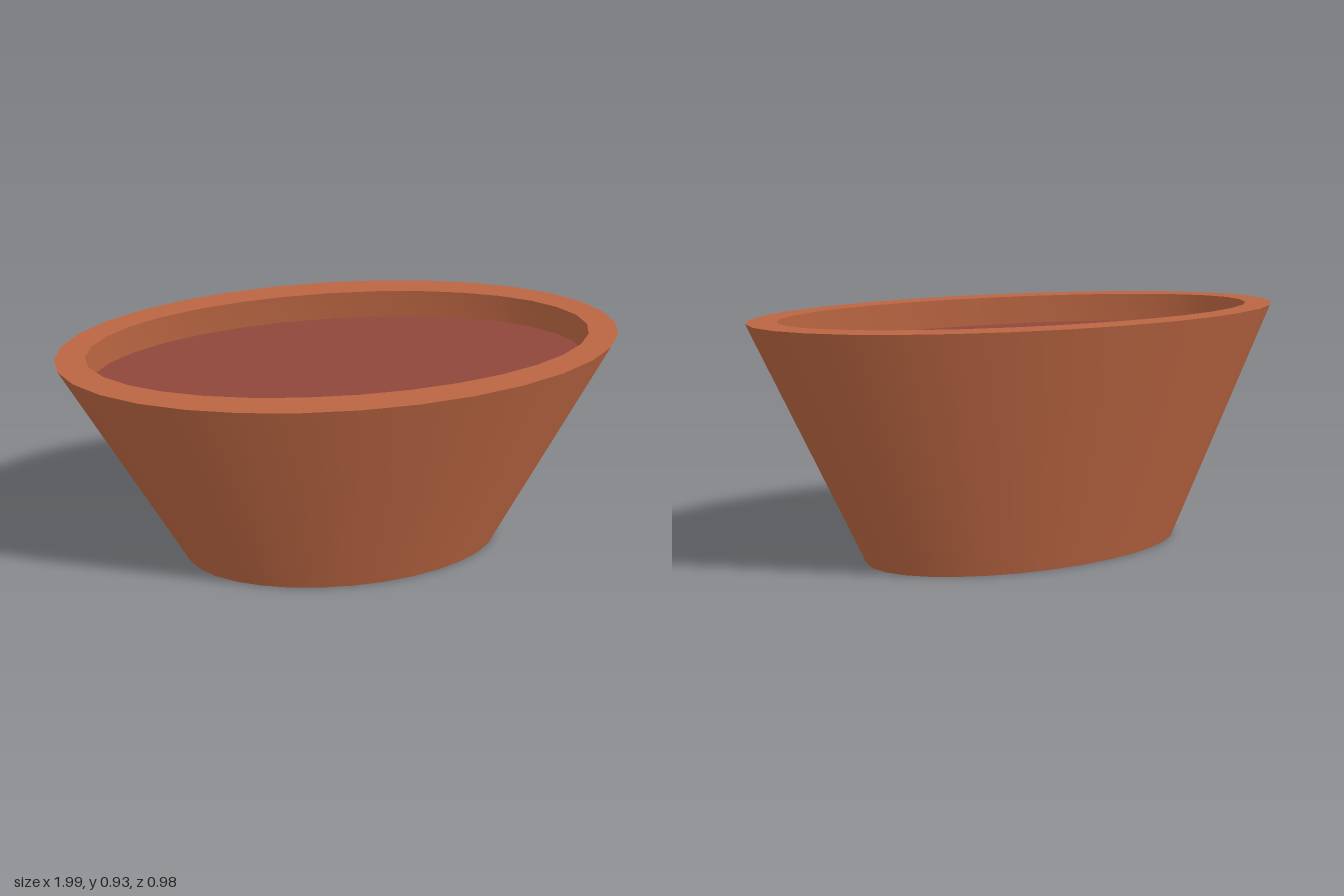
import * as THREE from 'three';

const H = 0.925;              // overall height
const TAPER = 0.62;           // base size relative to rim
const SIDES = 32;
const OUTER = [1.0135, 0.4615]; // rim half-axes
const INNER = [0.907, 0.368];   // opening half-axes
const SOIL_Y = H - 0.11;

export function createModel() {
  const group = new THREE.Group();
  const terracotta = new THREE.MeshStandardMaterial({ color: 0xbb6642 });
  const soil = new THREE.MeshStandardMaterial({ color: 0x90473c });
  terracotta.name = 'terracotta';
  soil.name = 'soil';

  const add = (name, geometry, material, y) => {
    const mesh = new THREE.Mesh(geometry, material);
    mesh.name = name;
    mesh.position.y = y;
    group.add(mesh);
  };
  // flat oval facing up
  const oval = ([a, b]) => new THREE.CircleGeometry(1, SIDES).scale(a, b, 1).rotateX(-Math.PI / 2);

  // tapered oval outer wall
  add('outerWall', new THREE.CylinderGeometry(1, TAPER, H, SIDES, 1, true)
    .scale(OUTER[0], 1, OUTER[1]), terracotta, H / 2);

  // underside
  add('base', oval(OUTER.map(r => r * TAPER)).rotateX(Math.PI), terracotta, 0);

  // flat rim with an oval opening
  const rim = new THREE.Shape().absellipse(0, 0, ...OUTER, 0, Math.PI * 2);
  rim.holes.push(new THREE.Path().absellipse(0, 0, ...INNER, 0, Math.PI * 2));
  add('rim', new THREE.ShapeGeometry(rim, SIDES / 2).rotateX(-Math.PI / 2), terracotta, H);

  // inner wall: an open cylinder turned inside out
  const inner = new THREE.CylinderGeometry(1, 1, H - SOIL_Y, SIDES, 1, true).scale(INNER[0], 1, INNER[1]);
  const index = inner.index.array;
  for (let i = 0; i < index.length; i += 3) [index[i], index[i + 1]] = [index[i + 1], index[i]];
  inner.computeVertexNormals();
  add('innerWall', inner, terracotta, (H + SOIL_Y) / 2);

  add('soilSurface', oval(INNER), soil, SOIL_Y);

  // the long axis is turned slightly from x
  group.rotation.y = -0.1834;
  group.name = 'ovalPlanter';
  return group;
}
